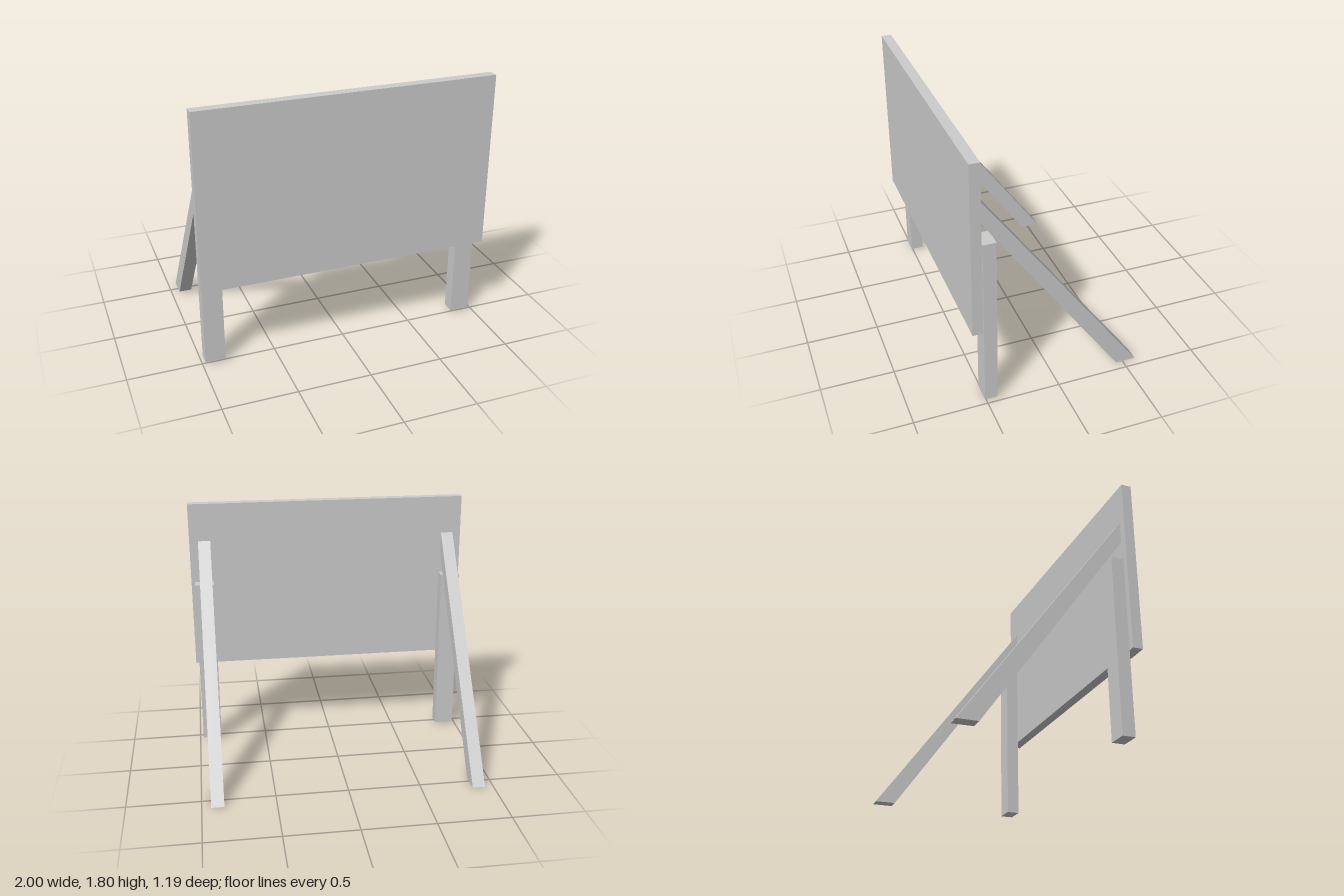
import * as THREE from 'three';

const material = new THREE.MeshStandardMaterial({ color: 0xcccccc, flatShading: true });

// Box given by its lower and upper limits
function box(name, [x0, y0, z0], [x1, y1, z1]) {
  const mesh = new THREE.Mesh(new THREE.BoxGeometry(x1 - x0, y1 - y0, z1 - z0), material);
  mesh.position.set((x0 + x1) / 2, (y0 + y1) / 2, (z0 + z1) / 2);
  mesh.name = name;
  return mesh;
}

// Slanted brace: side profile (-z, y), cut flush with the board and the ground
function brace(name, centreX, width) {
  const profile = new THREE.Shape([
    [-0.524, 1.53], [-0.524, 1.38], [0.453, 0], [0.593, 0],
  ].map(([x, y]) => new THREE.Vector2(x, y)));
  const geometry = new THREE.ExtrudeGeometry(profile, { depth: width, bevelEnabled: false });
  geometry.translate(0, 0, -width / 2).rotateY(Math.PI / 2);
  const mesh = new THREE.Mesh(geometry, material);
  mesh.position.x = centreX;
  mesh.name = name;
  return mesh;
}

export function createModel() {
  const model = new THREE.Group();
  model.name = 'billboard';

  // Sign panel
  model.add(box('board', [-1, 0.593, 0.524], [1, 1.8, 0.593]));

  // Upright post and rear brace on each side
  for (const [side, s, x] of [['left', 1, 0.907], ['right', -1, -0.911]]) {
    model.add(box(side + 'Post', [x - 0.068, 0.015, 0.424], [x + 0.068, 1.23, 0.511]));
    model.add(brace(side + 'Brace', x - s * 0.013, 0.088));
  }
  return model;
}
